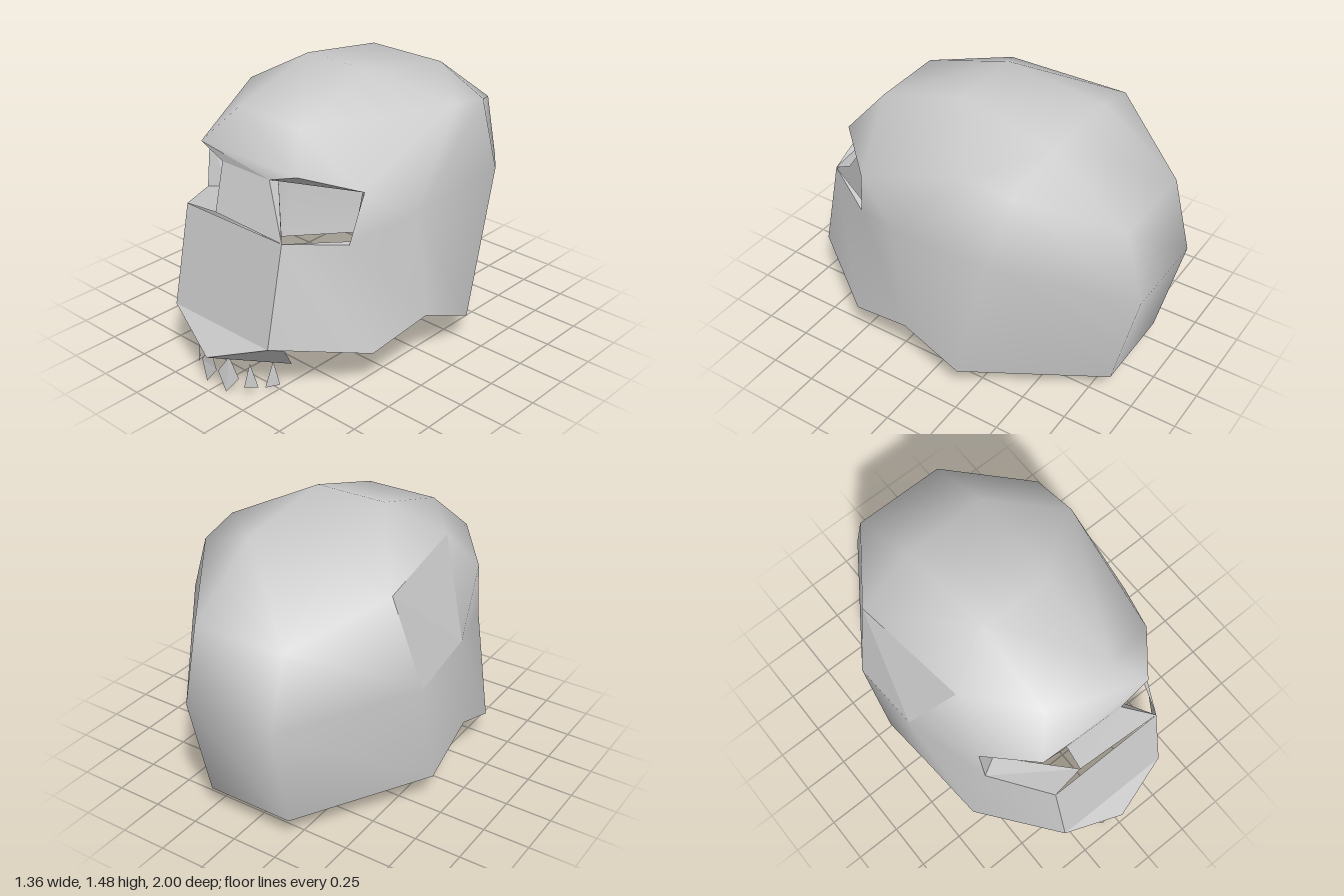
import * as THREE from 'three';
import { toCreasedNormals } from 'three/addons/utils/BufferGeometryUtils.js';

const material = new THREE.MeshStandardMaterial({ color: 0xcccccc, side: THREE.DoubleSide });

// Collects polygons of named corners as triangle fans.
function makeMesh(name, polygons, crease = 0) {
  const pos = [];
  for (const poly of polygons) {
    for (let i = 1; i < poly.length - 1; i++) pos.push(...poly[0], ...poly[i], ...poly[i + 1]);
  }
  let geo = new THREE.BufferGeometry();
  geo.setAttribute('position', new THREE.Float32BufferAttribute(pos, 3));
  geo.computeVertexNormals();
  if (crease) geo = toCreasedNormals(geo, crease);
  const mesh = new THREE.Mesh(geo, material);
  mesh.name = name;
  return mesh;
}

const flip = ([x, y, z]) => [-x, y, z];
const reversed = (poly) => [...poly].reverse();
const mirrored = (poly) => poly.map(flip);

// Centre band, front to back: brow, forehead, top, back top, back, rear, hem
const crown = [
  [0.33, 1.155, 0.68], [0.2, 1.33, 0.54], [0.2, 1.485, 0.05], [0.23, 1.4, -0.49],
  [0.25, 1.1, -0.9], [0.25, 0.71, -1], [0.24, 0.13, -0.865],
];
const brow = crown[0];
const cheekTop = [0.33, 0.855, 0.79];
const cheekLow = [0.33, 0.33, 0.9];
const chin = [0, 0.195, 1];

// Corners shared by both sides; the dented temple and jaw differ a little.
const shared = {
  eyeTop: [0.535, 1.065, 0.445], hemBack: [0.675, 0.175, -0.21],
  hemMid: [0.665, 0.315, 0.12], innerTop: [0.485, 1.045, 0.4],
};
const leftSide = {
  ...shared, temple: [0.565, 1.33, -0.2], peak: [0.547, 1.287, -0.44],
  bulge: [0.68, 0.96, -0.39], dent: [0.64, 0.9, 0.18],
  eyeLow: [0.49, 0.795, 0.5], jaw: [0.62, 0.235, 0.47], innerLow: [0.47, 0.79, 0.45],
};
const rightSide = {
  ...shared, temple: [0.472, 1.325, 0.2], peak: [0.55, 1.285, -0.44],
  bulge: [0.68, 0.78, -0.36], dent: [0.67, 0.855, 0.04],
  eyeLow: [0.53, 0.78, 0.48], jaw: [0.62, 0.16, 0.47], innerLow: [0.44, 0.79, 0.43],
};

// Side wall of the shell, written for the +x side
function sidePolygons(s) {
  const [, forehead, top, backTop, back, rear, hem] = crown;
  return [
    [brow, forehead, s.temple, s.eyeTop],
    [forehead, top, s.temple],
    [top, backTop, s.peak, s.temple],
    [backTop, back, s.peak],
    [back, rear, s.bulge, s.peak],
    [rear, hem, s.hemBack, s.bulge],
    [s.eyeTop, s.temple, s.dent],
    [s.bulge, s.hemBack, s.hemMid, s.dent],
    [s.dent, s.hemMid, s.jaw, s.eyeLow],
    [s.eyeTop, s.dent, s.eyeLow],
    [s.eyeLow, s.jaw, cheekLow, cheekTop],
  ];
}

// Dent behind the temple
const dentPolygons = (s) => [[s.temple, s.peak, s.dent], [s.peak, s.bulge, s.dent]];

export function createModel() {
  const group = new THREE.Group();
  const noseLeft = [0.155, 1.095, 0.69];
  const noseRight = [-0.18, 1.09, 0.68];
  const noseRightLow = [-0.15, 0.855, 0.765];

  // Smooth shell: both side walls, the centre band and the brow point
  const shell = [
    ...sidePolygons(leftSide).map(reversed),
    ...sidePolygons(rightSide).map(mirrored),
    [flip(brow), noseLeft, brow],
  ];
  for (let i = 0; i < crown.length - 1; i++) {
    const a = crown[i], b = crown[i + 1];
    shell.push([a, b, flip(b), flip(a)]);
  }
  // The left dent blends into the shell, the right one has sharp edges
  shell.push(...dentPolygons(leftSide).map(reversed));
  group.add(makeMesh('helmetShell', shell, 1.4));
  group.add(makeMesh('rightTempleDent', dentPolygons(rightSide).map(mirrored)));

  // Face plate, and the nose plate between the eye openings
  group.add(makeMesh('facePlate', [[cheekLow, cheekTop, flip(cheekTop), flip(cheekLow)]]));
  group.add(makeMesh('nosePlate', [
    [noseRightLow, cheekTop, noseLeft, noseRight],
    [cheekTop, [0.28, 0.85, 0.74], [0.145, 1.08, 0.62], noseLeft],
  ]));

  // Inner rims of the eye openings
  const L = leftSide;
  group.add(makeMesh('leftEyeRim', [
    [noseLeft, brow, L.eyeTop, L.innerTop],
    [L.eyeTop, L.eyeLow, L.innerLow, L.innerTop],
    [L.eyeLow, cheekTop, L.innerLow],
  ]));
  const R = Object.fromEntries(Object.entries(rightSide).map(([k, p]) => [k, flip(p)]));
  group.add(makeMesh('rightEyeRim', [
    [flip(brow), noseRight, R.innerTop, R.eyeTop],
    [flip(brow), noseLeft, noseRight],
    [R.eyeTop, R.innerTop, R.innerLow, R.eyeLow],
    [R.eyeLow, R.innerLow, noseRightLow, flip(cheekTop)],
  ]));

  // Pointed upper lip, folded forward under the face plate
  group.add(makeMesh('upperLip', [
    [cheekLow, flip(cheekLow), chin],
    [chin, [0.32, 0.17, 0.73], [0.375, 0.315, 0.833], cheekLow],
    [flip(cheekLow), R.jaw, chin],
  ]));

  // Teeth: front diamonds and two narrow triangles on each side
  const teeth = {
    FrontTooth: [[0.07, 0.19, 0.915], [0.005, 0.09, 0.935], [0.07, 0.002, 0.945], [0.135, 0.09, 0.915]],
    MiddleTooth: [[0.185, 0.185, 0.885], [0.165, 0.05, 0.91], [0.215, 0.05, 0.86]],
    BackTooth: [[0.23, 0.165, 0.77], [0.215, 0.025, 0.815], [0.25, 0.025, 0.745]],
  };
  for (const [name, poly] of Object.entries(teeth)) {
    group.add(makeMesh('left' + name, [poly]));
    group.add(makeMesh('right' + name, [reversed(mirrored(poly))]));
  }
  return group;
}
